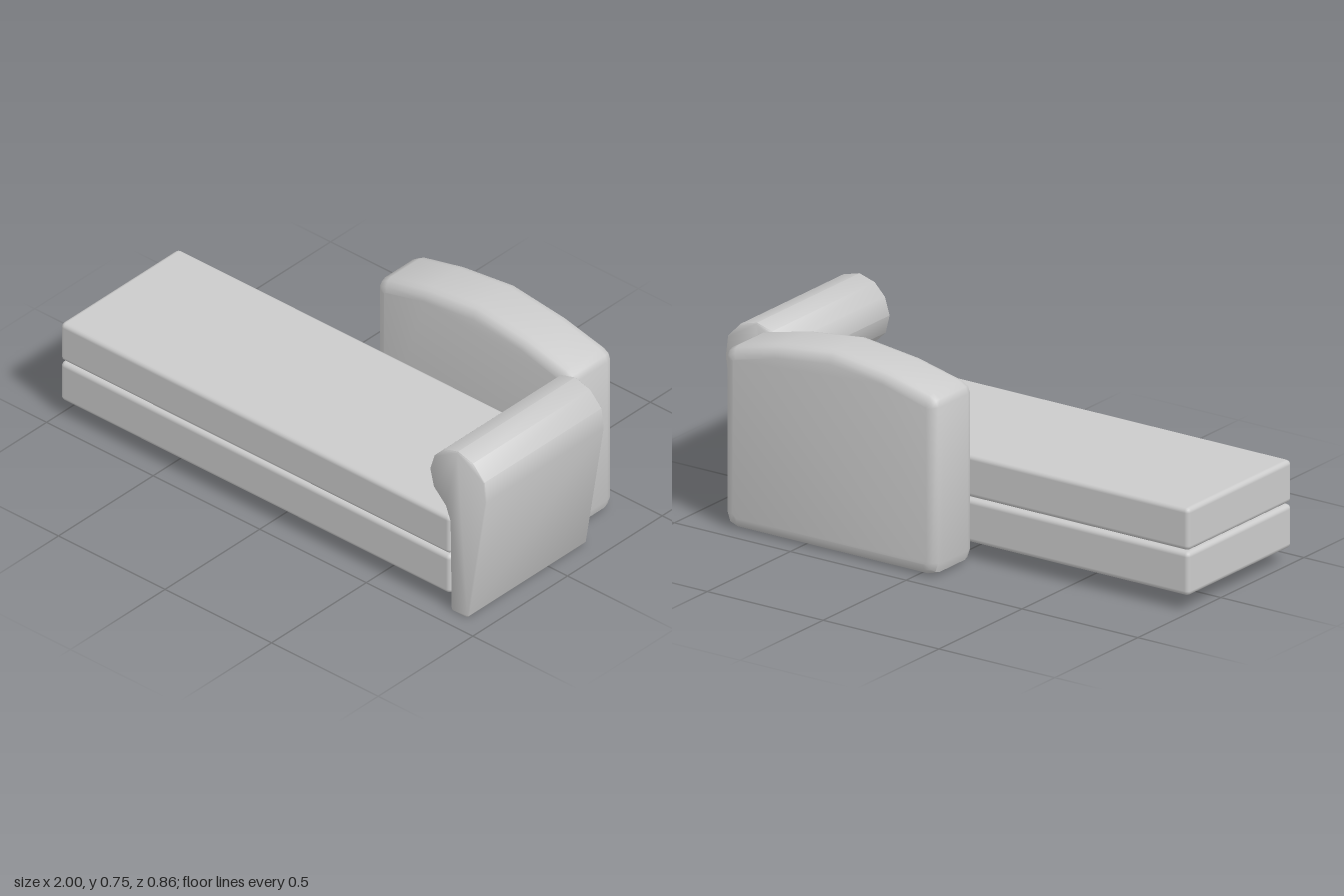
import * as THREE from 'three';
import { toCreasedNormals } from 'three/addons/utils/BufferGeometryUtils.js';
import { RoundedBoxGeometry } from 'three/addons/geometries/RoundedBoxGeometry.js';

const material = new THREE.MeshStandardMaterial({ color: 0xcccccc });

function addPart(group, name, geometry, x = 0, y = 0, z = 0) {
  const mesh = new THREE.Mesh(geometry, material);
  mesh.name = name;
  mesh.position.set(x, y, z);
  group.add(mesh);
}

// Extrudes an outline between two depths, keeping the bevel inside the outline.
function bevelledExtrusion(points, zMin, zMax, bevel, segments) {
  const shape = new THREE.Shape(points.map(([x, y]) => new THREE.Vector2(x, y)));
  const geometry = new THREE.ExtrudeGeometry(shape, {
    depth: zMax - zMin - 2 * bevel,
    bevelEnabled: true,
    bevelThickness: bevel,
    bevelSize: bevel,
    bevelOffset: -bevel,
    bevelSegments: segments,
  });
  geometry.translate(0, 0, zMin + bevel);
  return toCreasedNormals(geometry, 0.85);
}

export function createModel() {
  const group = new THREE.Group();
  group.name = 'chaise';

  // Two stacked slabs: base and seat cushion
  const slabs = [['base', 0.06, 0.223], ['seatCushion', 0.229, 0.388]];
  for (const [name, bottom, top] of slabs) {
    addPart(group, name, new RoundedBoxGeometry(1.83, top - bottom, 0.625, 2, 0.018),
      -0.085, (bottom + top) / 2, 0.1175);
  }

  // Back cushion with a gently arched top, mirrored about its middle
  const middle = 0.38;
  const half = [[0.41, 0], [0.447, 0.013], [0.46, 0.05], [0.46, 0.635], [0.45, 0.66], [0.42, 0.677], [0.235, 0.72]];
  const outline = [
    ...half.map(([x, y]) => [middle + x, y]),
    [middle, 0.748],
    ...half.slice().reverse().map(([x, y]) => [middle - x, y]),
  ];
  addPart(group, 'backCushion', bevelledExtrusion(outline, -0.432, -0.198, 0.042, 3));

  // Armrest: a tapering panel that swells into a rolled top
  const armProfile = [
    [0.84, 0], [0.908, 0], [0.916, 0.01], [1, 0.53], [0.99, 0.61], [0.935, 0.666],
    [0.865, 0.685], [0.8, 0.666], [0.755, 0.62], [0.735, 0.555], [0.752, 0.487],
    [0.808, 0.432], [0.83, 0.375], [0.835, 0.01],
  ];
  addPart(group, 'armrest', bevelledExtrusion(armProfile, -0.195, 0.43, 0.004, 1));

  // Small foot under the back corner of the base
  addPart(group, 'foot', new THREE.CylinderGeometry(0.016, 0.01, 0.06, 12), 0.772, 0.034, -0.18);

  return group;
}
